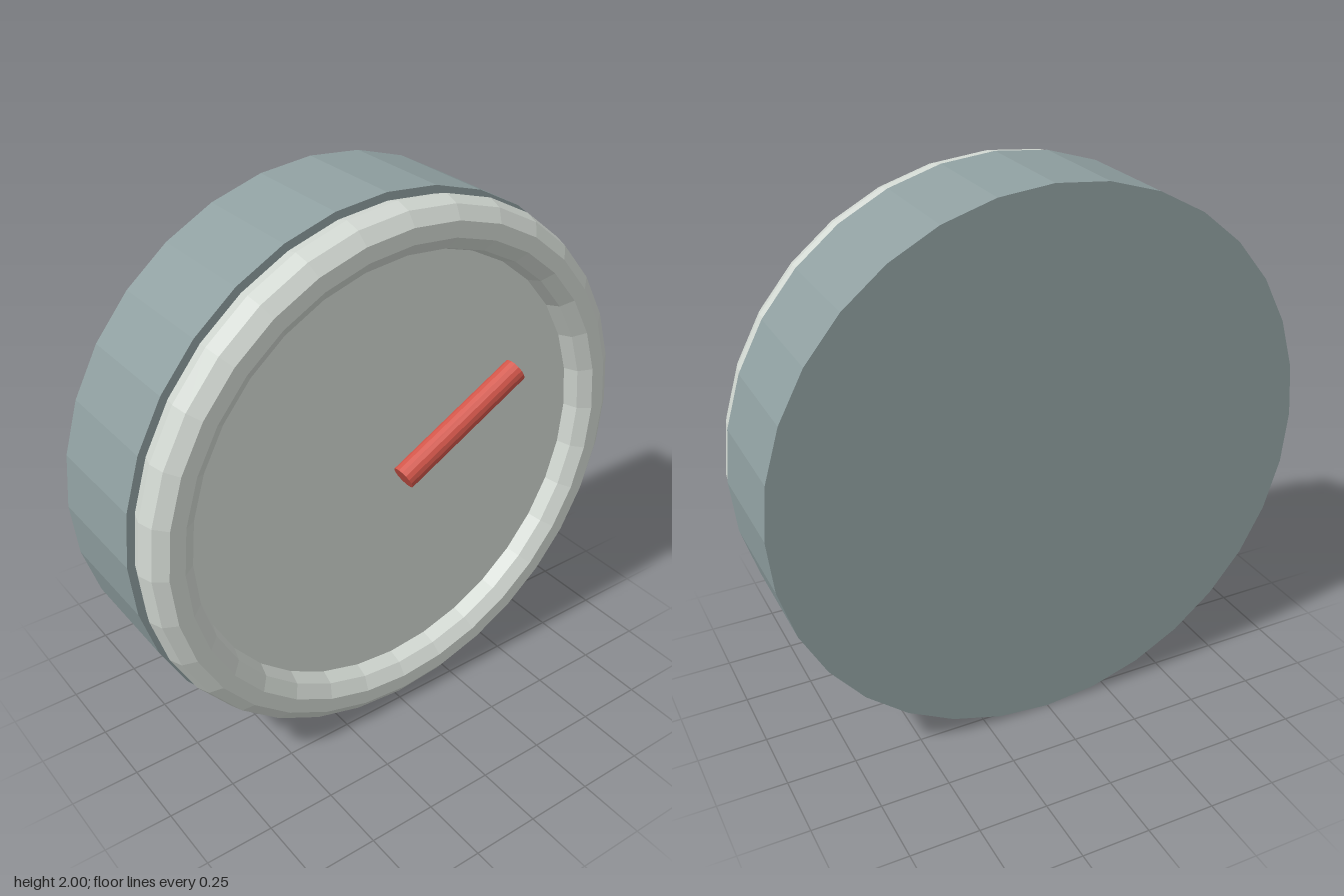
import * as THREE from 'three';

const mat = (name, color, flatShading = true) => {
  const m = new THREE.MeshStandardMaterial({ color, flatShading });
  m.name = name;
  return m;
};

export function createModel() {
  const group = new THREE.Group();
  group.name = 'gauge';
  const steel = mat('steel grey', 0x8f9fa0);
  const pale = mat('pale grey', 0xd0d6d0);
  const red = mat('needle red', 0xd2564a);

  const add = (name, geometry, material, x, y, z) => {
    const mesh = new THREE.Mesh(geometry, material);
    mesh.name = name;
    mesh.position.set(x, y, z);
    group.add(mesh);
    return mesh;
  };

  // Drum housing, lying along z
  add('housing', new THREE.CylinderGeometry(1, 1, 0.42, 32).rotateX(Math.PI / 2), steel, 0, 1, -0.075);

  // Rounded rim and the dial face it holds
  add('rim', new THREE.TorusGeometry(0.9, 0.09, 10, 32), pale, 0, 1, 0.19);
  add('dialFace', new THREE.CylinderGeometry(0.82, 0.82, 0.06, 32).rotateX(Math.PI / 2), pale, 0, 1, 0.16);

  // Pointer from the dial centre towards the upper right
  const needle = add('needle', new THREE.CylinderGeometry(0.045, 0.045, 0.56, 16), red, 0.25, 1.135, 0.24);
  needle.rotation.z = Math.atan2(0.27, 0.5) - Math.PI / 2;

  return group;
}
